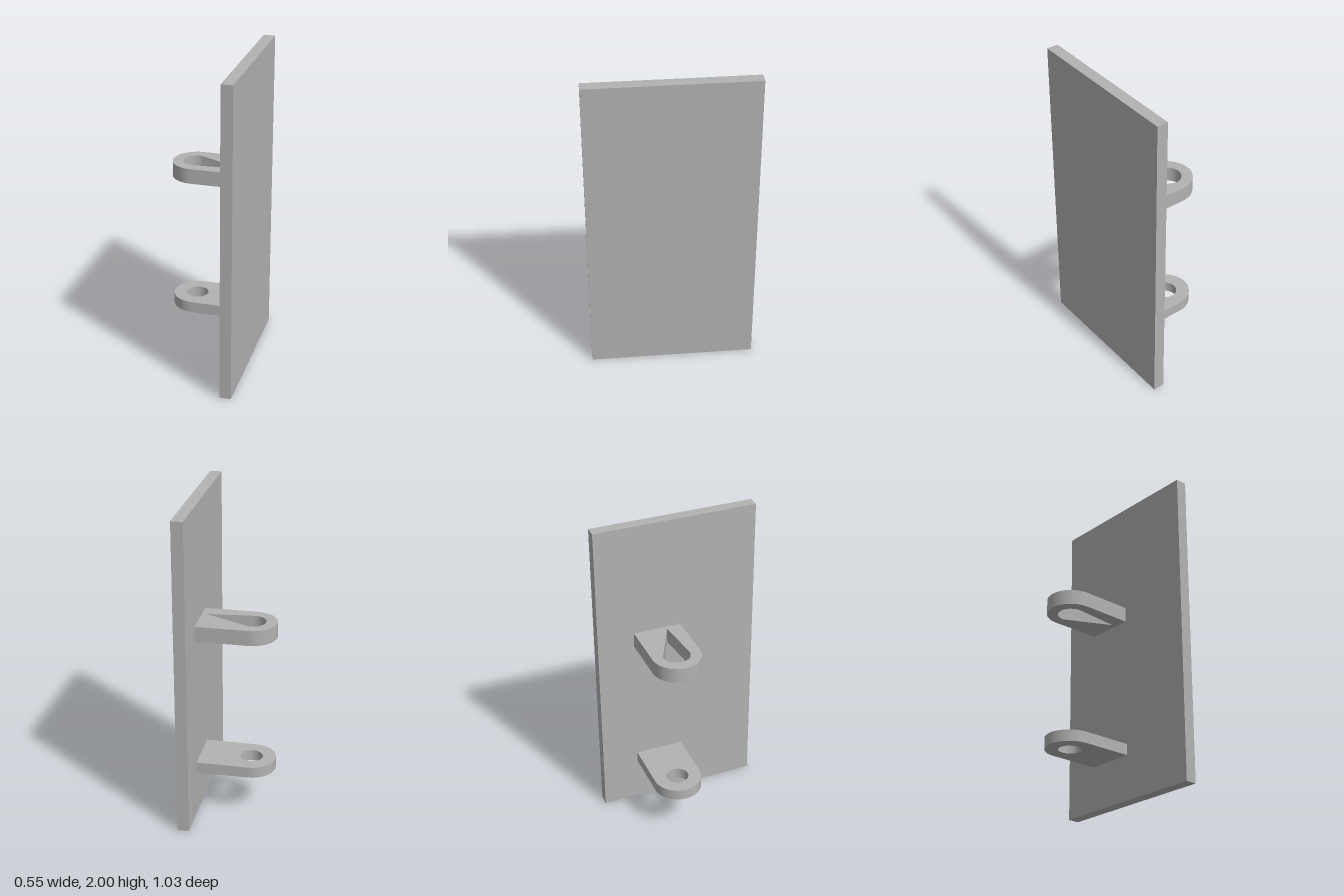
import * as THREE from 'three';
import { toCreasedNormals } from 'three/addons/utils/BufferGeometryUtils.js';

const PLATE_X = 0.201, HALF_X = 0.273; // inner and outer faces of the plate
const EYE_X = -0.121, EYE_Z = -0.131, EYE_R = 0.152;

// Round bore in the lower lug
function roundHole() {
  return new THREE.Path().absarc(EYE_X, 0, 0.07, 0, Math.PI * 2, true);
}

// Tapered slot in the upper lug: round at the tip, narrowing to a flat end
function taperedSlot() {
  const r = 0.084, tilt = 0.09, start = Math.PI / 2 - tilt;
  const path = new THREE.Path();
  path.moveTo(0.175, 0.057);
  path.absarc(EYE_X, 0, r, start, Math.PI * 2 - start, false);
  path.lineTo(0.175, -0.057);
  path.closePath();
  return path;
}

// Horizontal lug with a rounded tip and one opening through it
function makeLug(name, bottom, top, hole, material) {
  const shape = new THREE.Shape();
  shape.moveTo(PLATE_X, EYE_R);
  shape.lineTo(EYE_X, EYE_R);
  shape.absarc(EYE_X, 0, EYE_R, Math.PI / 2, Math.PI * 1.5, false);
  shape.lineTo(PLATE_X, -EYE_R);
  shape.closePath();
  shape.holes.push(hole);
  const extruded = new THREE.ExtrudeGeometry(shape, {
    depth: top - bottom, bevelEnabled: false, curveSegments: 40,
  });
  extruded.rotateX(-Math.PI / 2);
  const lug = new THREE.Mesh(toCreasedNormals(extruded, 0.4), material);
  lug.name = name;
  lug.position.set(0, bottom, EYE_Z);
  return lug;
}

export function createModel() {
  const model = new THREE.Group();
  model.name = 'hingePlate';
  const grey = new THREE.MeshStandardMaterial({ color: 0xb2b2b2 });
  grey.name = 'plain grey';

  // Upright plate
  const plate = new THREE.Mesh(new THREE.BoxGeometry(HALF_X - PLATE_X, 2, 1.034), grey);
  plate.name = 'plate';
  plate.position.set((HALF_X + PLATE_X) / 2, 1, 0);
  model.add(plate);

  // Two lugs on the inner face
  model.add(makeLug('lowerLug', 0.285, 0.356, roundHole(), grey));
  model.add(makeLug('upperLug', 1.18, 1.276, taperedSlot(), grey));
  return model;
}
